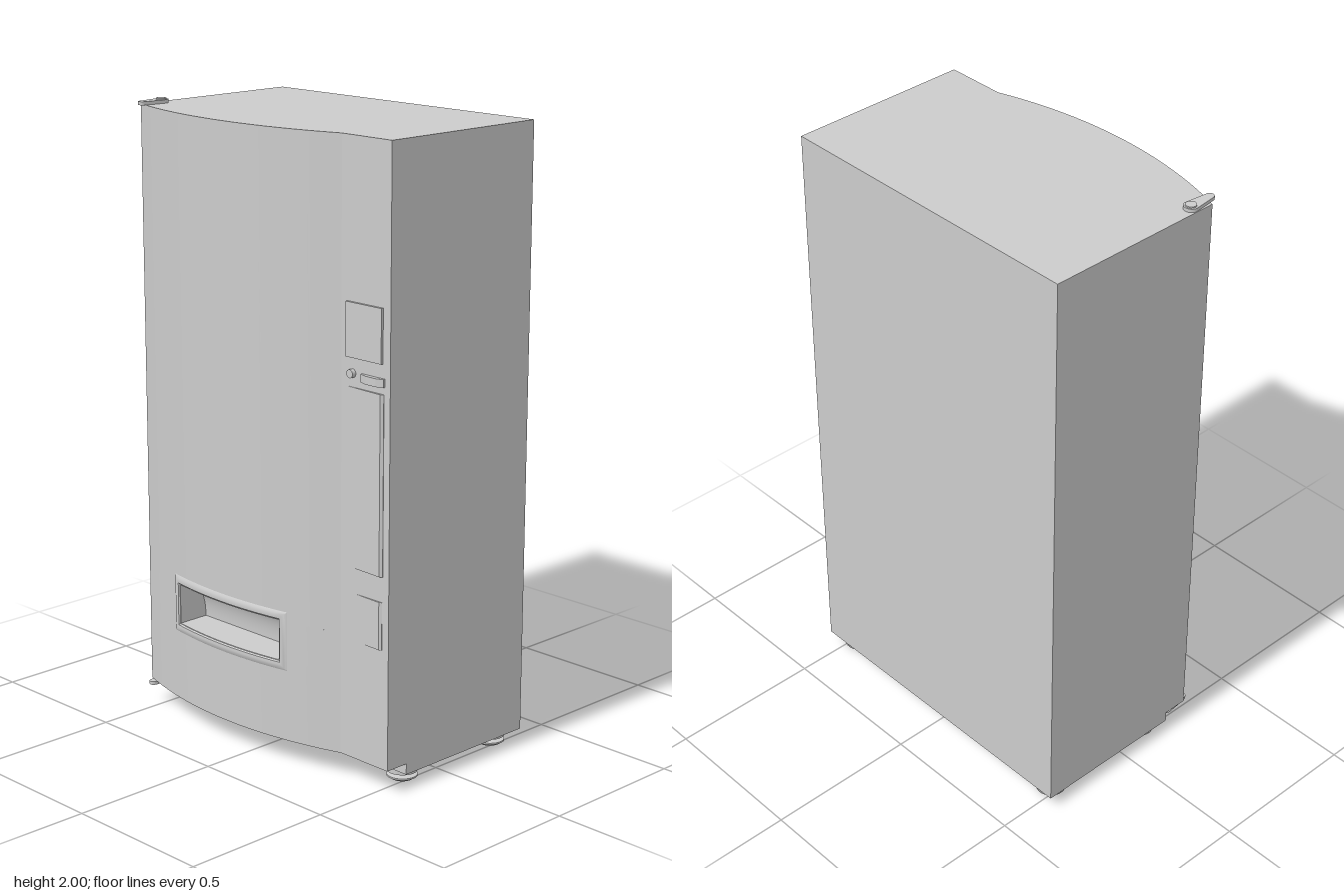
import * as THREE from 'three';
import { toCreasedNormals } from 'three/addons/utils/BufferGeometryUtils.js';

const material = new THREE.MeshStandardMaterial({ color: 0xcccccc });
const SIDE = 0.545, BACK = -0.343, SEAM = 0.18, FLAT = 0.262;
const FLOOR = 0.045, DOOR = 0.08, TOP = 1.985;
const BOW = { x: -0.1, half: 0.445, rise: 0.075 };
const CHUTE = { x0: -0.33, x1: 0.13, y0: 0.34, y1: 0.47, z: 0.205 };

// Front surface of the door: a shallow arc, then a flat strip on the left
const radius = (BOW.half ** 2 + BOW.rise ** 2) / (2 * BOW.rise);
function frontZ(x) {
  const d = x - BOW.x;
  if (Math.abs(d) >= BOW.half) return FLAT;
  return FLAT + BOW.rise - radius + Math.sqrt(radius ** 2 - d ** 2);
}

function frontPoints(x0, x1, n) {
  return Array.from({ length: n + 1 }, (_, i) => {
    const x = x0 + ((x1 - x0) * i) / n;
    return [x, frontZ(x)];
  });
}

function mesh(name, geometry) {
  const m = new THREE.Mesh(geometry, material);
  m.name = name;
  return m;
}

// Extrude a plan outline of [x, z] points upward from y0 to y1
function slab(name, outline, y0, y1) {
  const shape = new THREE.Shape(outline.map(([x, z]) => new THREE.Vector2(x, -z)));
  const g = new THREE.ExtrudeGeometry(shape, { depth: y1 - y0, bevelEnabled: false });
  g.rotateX(-Math.PI / 2).translate(0, y0, 0);
  return mesh(name, toCreasedNormals(g, 0.12));
}

function box(name, x0, x1, y0, y1, z0, z1) {
  const g = new THREE.BoxGeometry(x1 - x0, y1 - y0, z1 - z0);
  g.translate((x0 + x1) / 2, (y0 + y1) / 2, (z0 + z1) / 2);
  return mesh(name, g);
}

// Door in three bands; the middle one is notched for the delivery chute
function createDoor() {
  const door = new THREE.Group();
  door.name = 'door';
  const arcEnd = BOW.x + BOW.half;
  const rear = [[SIDE, FLAT], [SIDE, SEAM], [-SIDE, SEAM]];
  const plain = [...frontPoints(-SIDE, arcEnd, 40), ...rear];
  const notched = [
    ...frontPoints(-SIDE, CHUTE.x0, 10),
    [CHUTE.x0, CHUTE.z], [CHUTE.x1, CHUTE.z],
    ...frontPoints(CHUTE.x1, arcEnd, 10), ...rear,
  ];
  door.add(
    slab('doorLower', plain, DOOR, CHUTE.y0),
    slab('doorMiddle', notched, CHUTE.y0, CHUTE.y1),
    slab('doorUpper', plain, CHUTE.y1, TOP),
  );
  return door;
}

// Curved lining at the top and back of the chute
function createChuteLining() {
  const s = new THREE.Shape();
  s.moveTo(CHUTE.z, CHUTE.y0);
  s.lineTo(CHUTE.z + 0.005, CHUTE.y0);
  s.quadraticCurveTo(CHUTE.z + 0.005, CHUTE.y1 - 0.01, 0.3, CHUTE.y1);
  s.lineTo(CHUTE.z, CHUTE.y1);
  const g = new THREE.ExtrudeGeometry(s, {
    depth: CHUTE.x1 - CHUTE.x0, bevelEnabled: false, curveSegments: 16,
  });
  g.rotateY(-Math.PI / 2).translate(CHUTE.x1, 0, 0);
  return mesh('chuteLining', toCreasedNormals(g, 0.6));
}

// Raised rim around the chute, lofted through rectangular rings that follow the door
function createChuteRim() {
  const rings = [[0.032, -0.001], [0.024, 0.004], [0.014, 0.006], [0.006, 0.005], [0, -0.003]];
  const n = 16, pos = [], index = [];
  for (const [grow, lift] of rings) {
    const x0 = CHUTE.x0 - grow, x1 = CHUTE.x1 + grow;
    const y0 = CHUTE.y0 - grow, y1 = CHUTE.y1 + grow;
    for (const [a, b, y] of [[x0, x1, y0], [x1, x0, y1]]) {
      for (const [x, z] of frontPoints(a, b, n)) pos.push(x, y, z + lift);
    }
  }
  const count = 2 * (n + 1);
  for (let r = 0; r < rings.length - 1; r++) {
    for (let i = 0; i < count; i++) {
      const j = (i + 1) % count, o = r * count, p = o + count;
      index.push(o + i, o + j, p + j, o + i, p + j, p + i);
    }
  }
  const g = new THREE.BufferGeometry();
  g.setAttribute('position', new THREE.Float32BufferAttribute(pos, 3));
  g.setIndex(index);
  g.computeVertexNormals();
  return mesh('chuteRim', toCreasedNormals(g, 0.6));
}

// Tapered hinge arm with a pivot pin
function createHinge(name, y, up) {
  const hinge = new THREE.Group();
  hinge.name = name;
  const px = -0.52, pz = 0.2;
  const outline = [];
  for (let i = 0; i <= 12; i++) {
    const a = Math.PI + (Math.PI * i) / 12;
    outline.push([px + 0.023 * Math.cos(a), pz + 0.022 * Math.sin(a)]);
  }
  for (let i = 0; i <= 8; i++) {
    const a = (Math.PI * i) / 8;
    outline.push([px + 0.014 * Math.cos(a), 0.277 + 0.014 * Math.sin(a)]);
  }
  const arm = slab('hingeArm', outline, up ? y : y - 0.011, up ? y + 0.011 : y);
  const pin = mesh('hingePin', new THREE.CylinderGeometry(0.017, 0.017, 0.015, 24));
  pin.position.set(px, y + (up ? 0.0075 : -0.0075), pz);
  hinge.add(arm, pin);
  return hinge;
}

// Levelling feet: collar, stem and floor pad
function createFeet() {
  const profile = [[0, 0], [0.036, 0], [0.048, 0.008], [0.048, 0.013], [0.025, 0.017],
    [0.025, 0.023], [0.048, 0.025], [0.048, 0.046], [0, 0.046]];
  const g = toCreasedNormals(
    new THREE.LatheGeometry(profile.map(([r, y]) => new THREE.Vector2(r, y)), 32), 0.4);
  const feet = new THREE.Group();
  feet.name = 'feet';
  for (const x of [-0.475, 0.475]) {
    for (const z of [-0.275, 0.125]) {
      const foot = mesh('foot', g);
      foot.position.set(x, 0, z);
      feet.add(foot);
    }
  }
  return feet;
}

// Payment controls on the flat strip
function createControls() {
  const controls = new THREE.Group();
  controls.name = 'controls';
  const z = FLAT - 0.004;
  const wedge = (x0, x1, lift) => [[x0, z], [x0, FLAT + 0.001],
    [x1 - 0.008, FLAT + lift], [x1, FLAT + 0.001], [x1, z]];
  const button = mesh('coinButton', new THREE.CylinderGeometry(0.013, 0.013, 0.02, 24));
  button.rotation.x = Math.PI / 2;
  button.position.set(0.392, 1.287, FLAT + 0.004);
  controls.add(
    box('displayPanel', 0.37, 0.515, 1.335, 1.5, z, FLAT + 0.008),
    slab('noteSlot', [[0.43, z], [0.43, FLAT + 0.006], [0.46, FLAT + 0.015],
      [0.5, FLAT + 0.015], [0.523, FLAT + 0.006], [0.523, z]], 1.267, 1.292),
    button,
    slab('sidePanel', wedge(0.37, 0.52, 0.008), 0.69, 1.245),
    slab('coinReturn', wedge(0.415, 0.518, 0.006), 0.46, 0.61),
  );
  return controls;
}

export function createModel() {
  const model = new THREE.Group();
  model.name = 'vendingMachine';
  model.add(
    box('cabinet', -SIDE, SIDE, FLOOR, TOP, BACK, SEAM),
    createDoor(),
    createChuteLining(),
    createChuteRim(),
    createControls(),
    createHinge('topHinge', TOP, true),
    createHinge('bottomHinge', DOOR, false),
    createFeet(),
  );
  return model;
}
